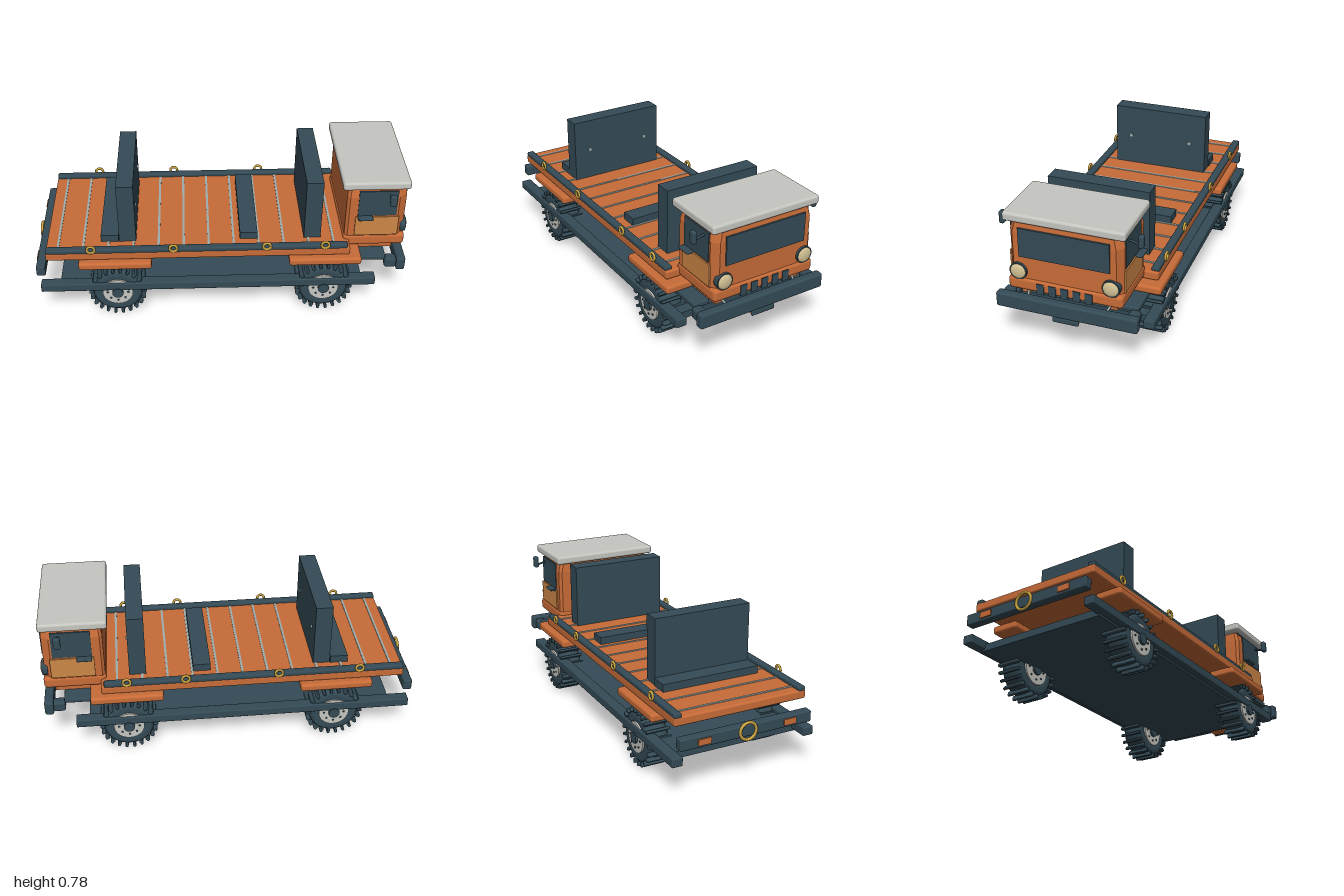
import * as THREE from 'three';
import { RoundedBoxGeometry } from 'three/addons/geometries/RoundedBoxGeometry.js';

const mat = (name, color) => {
  const m = new THREE.MeshStandardMaterial({ color });
  m.name = name;
  return m;
};

export function createModel() {
  const dark = mat('dark slate', 0x344b56);
  const orange = mat('orange paint', 0xc86c38);
  const panel = mat('door orange', 0xcd8747);
  const white = mat('roof white', 0xc6c6c1);
  const steel = mat('steel', 0x9fadad);
  const gold = mat('brass', 0xcaa33f);
  const lamp = mat('lamp glass', 0xd6c596);

  const truck = new THREE.Group();
  truck.name = 'flatbedTruck';

  const add = (name, geo, m, x = 0, y = 0, z = 0, parent = truck) => {
    const mesh = new THREE.Mesh(geo, m);
    mesh.name = name;
    mesh.position.set(x, y, z);
    parent.add(mesh);
    return mesh;
  };
  // Box given by its limits on each axis; r > 0 rounds the edges
  const box = (name, m, [x0, x1], [y0, y1], [z0, z1], r = 0, parent = truck) => {
    const s = [x1 - x0, y1 - y0, z1 - z0];
    const geo = r ? new RoundedBoxGeometry(...s, 2, r) : new THREE.BoxGeometry(...s);
    return add(name, geo, m, (x0 + x1) / 2, (y0 + y1) / 2, (z0 + z1) / 2, parent);
  };
  // The same box on both sides of the truck
  const pair = (name, m, xs, ys, [z0, z1], r = 0) => {
    box(name, m, xs, ys, [z0, z1], r);
    box(name, m, xs, ys, [-z1, -z0], r);
  };

  // Under-tray and its side rails
  box('underTray', dark, [-0.87, 0.76], [0.167, 0.205], [-0.36, 0.36]);
  pair('lowerRail', dark, [-0.97, 0.83], [0.178, 0.225], [0.342, 0.4], 0.006);

  // Load deck with plank joints, edge rails and lashing rings
  box('deck', orange, [-0.932, 0.685], [0.367, 0.414], [-0.37, 0.37], 0.01);
  for (let i = 0; i < 12; i++) {
    const x = -0.868 + i * 0.1335;
    box('plankJoint', steel, [x - 0.006, x + 0.006], [0.411, 0.418], [-0.33, 0.33]);
  }
  pair('edgeRail', dark, [-0.93, 0.67], [0.405, 0.433], [0.328, 0.368], 0.008);
  for (const x of [-0.69, -0.255, 0.24, 0.55])
    for (const s of [1, -1])
      add('lashingRing', new THREE.TorusGeometry(0.02, 0.007, 8, 20), gold, x, 0.435, s * 0.368);

  // Bolster walls and low cross blocks
  for (const x of [-0.5, 0.49]) {
    box('bolsterWall', dark, [x - 0.045, x + 0.045], [0.412, 0.766], [-0.272, 0.272]);
    for (const z of [-0.18, 0.18]) {
      const bolt = add('bolt', new THREE.CylinderGeometry(0.01, 0.01, 0.01, 12), steel, x + 0.047, 0.59, z);
      bolt.rotation.z = Math.PI / 2;
    }
  }
  for (const x of [-0.595, 0.148])
    box('crossBlock', dark, [x - 0.047, x + 0.047], [0.412, 0.455], [-0.277, 0.272]);

  // Mudguards
  pair('rearMudguard', orange, [-0.76, -0.372], [0.322, 0.366], [0.25, 0.403], 0.014);
  pair('frontMudguard', orange, [0.36, 0.745], [0.322, 0.366], [0.25, 0.403], 0.014);

  // Wheels: profile is [radius, half width], spun about the axle
  const tyre = new THREE.LatheGeometry([
    [0.078, -0.055], [0.115, -0.062], [0.131, -0.05], [0.137, -0.02],
    [0.137, 0.02], [0.131, 0.05], [0.115, 0.062], [0.078, 0.055],
  ].map(([r, h]) => new THREE.Vector2(r, h)), 36).rotateX(Math.PI / 2);
  const lug = new RoundedBoxGeometry(0.026, 0.016, 0.131, 1, 0.005);
  const disc = (r, h, n = 28) => new THREE.CylinderGeometry(r, r, h, n).rotateX(Math.PI / 2);
  for (const x of [-0.562, 0.552]) for (const s of [1, -1]) {
    const wheel = new THREE.Group();
    wheel.name = 'wheel';
    wheel.position.set(x, 0.16, s * 0.327);
    truck.add(wheel);
    add('tyre', tyre, dark, 0, 0, 0, wheel);
    for (let i = 0; i < 22; i++) {
      const a = (i / 22) * Math.PI * 2;
      add('treadLug', lug, dark, Math.cos(a) * 0.142, Math.sin(a) * 0.142, 0, wheel).rotation.z = a;
    }
    add('rim', disc(0.082, 0.13), white, 0, 0, 0, wheel);
    add('hub', disc(0.03, 0.155, 20), dark, 0, 0, 0, wheel);
    for (let i = 0; i < 8; i++) {
      const a = (i / 8) * Math.PI * 2;
      add('wheelNut', disc(0.006, 0.138, 8), dark, Math.cos(a) * 0.055, Math.sin(a) * 0.055, 0, wheel);
    }
  }

  // Cab shell: chamfered plan raised upward, narrowing near the roof
  const plan = new THREE.Shape([
    [0.66, -0.275], [0.675, -0.29], [0.935, -0.29], [0.975, -0.262],
    [0.975, 0.262], [0.935, 0.29], [0.675, 0.29], [0.66, 0.275],
  ].map(([x, z]) => new THREE.Vector2(x - 0.82, z)));
  const shell = new THREE.ExtrudeGeometry(plan, { depth: 0.315, steps: 6, bevelEnabled: false }).rotateX(-Math.PI / 2);
  const p = shell.attributes.position;
  for (let i = 0; i < p.count; i++)
    if (p.getY(i) > 0.3) p.setXYZ(i, p.getX(i) * 0.96, p.getY(i), p.getZ(i) * 0.95);
  shell.computeVertexNormals();
  add('cabShell', shell, orange, 0.82, 0.42, 0);
  box('cabSkirt', orange, [0.655, 0.985], [0.37, 0.44], [-0.295, 0.295], 0.02);
  box('roof', white, [0.63, 0.984], [0.738, 0.785], [-0.309, 0.309], 0.014);
  box('roofSeal', dark, [0.68, 0.95], [0.73, 0.742], [-0.28, 0.28]);

  // Cab front: windscreen, grille, headlights
  box('windscreen', dark, [0.973, 0.982], [0.557, 0.711], [-0.231, 0.231]);
  for (let i = -2; i <= 2; i++)
    box('grilleSlot', dark, [0.98, 0.989], [0.368, 0.424], [i * 0.0625 - 0.019, i * 0.0625 + 0.019]);
  for (const s of [1, -1]) {
    const ring = add('headlightRing', new THREE.CylinderGeometry(0.045, 0.045, 0.03, 28), dark, 0.972, 0.477, s * 0.237);
    ring.rotation.z = -Math.PI / 2;
    const lens = add('headlightLens', new THREE.SphereGeometry(0.04, 24, 12), lamp, 0.985, 0.477, s * 0.237);
    lens.scale.x = 0.3;
  }

  // Cab sides: windows, door panels, handles, mirrors
  pair('sideWindow', dark, [0.72, 0.925], [0.568, 0.722], [0.286, 0.294]);
  pair('doorPanel', panel, [0.71, 0.94], [0.442, 0.56], [0.289, 0.297]);
  pair('doorHandle', dark, [0.72, 0.8], [0.555, 0.568], [0.29, 0.328], 0.005);
  pair('mirror', dark, [0.868, 0.905], [0.67, 0.736], [0.34, 0.367], 0.01);
  for (const s of [1, -1]) {
    const path = new THREE.LineCurve3(new THREE.Vector3(0.885, 0.702, s * 0.28), new THREE.Vector3(0.885, 0.684, s * 0.35));
    add('mirrorArm', new THREE.TubeGeometry(path, 1, 0.006, 8), dark);
  }

  // Front bumper, step plates, tow plate and hoses
  box('bumper', dark, [0.942, 0.99], [0.25, 0.33], [-0.368, 0.368], 0.012);
  pair('bumperEnd', dark, [0.88, 0.945], [0.258, 0.318], [0.3, 0.355], 0.014);
  pair('stepPlate', dark, [0.67, 0.885], [0.302, 0.328], [0.25, 0.34], 0.006);
  box('towPlate', orange, [0.85, 0.978], [0.228, 0.25], [-0.065, 0.065], 0.006);
  box('towLip', dark, [0.975, 0.99], [0.224, 0.252], [-0.068, 0.068], 0.006);
  pair('hoseBracket', orange, [0.74, 0.93], [0.325, 0.35], [0.205, 0.25]);
  for (const s of [1, -1]) {
    const hose = new THREE.CatmullRomCurve3([[0.76, 0.352, 0.25], [0.86, 0.352, 0.235], [0.94, 0.338, 0.21], [0.955, 0.32, 0.205]]
      .map(([x, y, z]) => new THREE.Vector3(x, y, s * z)));
    add('hose', new THREE.TubeGeometry(hose, 14, 0.006, 8), steel);
  }

  // Rear beam with tail lights and tow ring
  box('rearBeam', dark, [-0.99, -0.942], [0.264, 0.325], [-0.368, 0.368], 0.008);
  pair('tailLight', orange, [-0.996, -0.985], [0.278, 0.31], [0.205, 0.275]);
  const tow = add('towRing', new THREE.TorusGeometry(0.045, 0.008, 8, 24), gold, -0.992, 0.295, 0);
  tow.rotation.y = Math.PI / 2;

  return truck;
}
